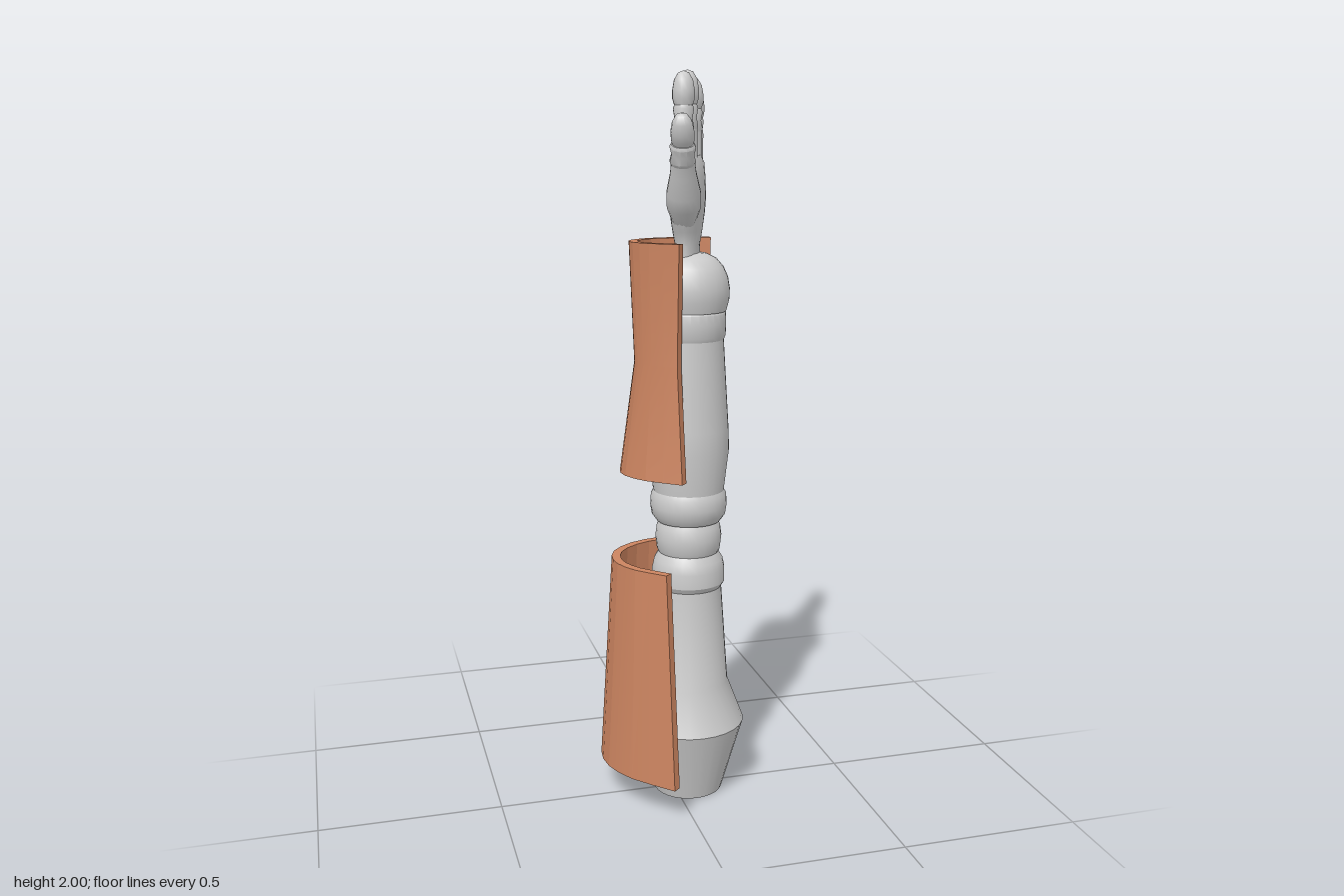
import * as THREE from 'three';
import { toCreasedNormals } from 'three/addons/utils/BufferGeometryUtils.js';

const grey = new THREE.MeshStandardMaterial({ color: 0xcccccc });
const copper = new THREE.MeshStandardMaterial({ color: 0xcb8460 });

function addMesh(parent, name, geometry, material = grey, crease = 0.5) {
  const mesh = new THREE.Mesh(toCreasedNormals(geometry, crease), material);
  mesh.name = name;
  parent.add(mesh);
  return mesh;
}

// Turned part from [radius, height] pairs, bottom to top
const lathe = (profile, sides = 28) =>
  new THREE.LatheGeometry(profile.map(([r, y]) => new THREE.Vector2(r, y)), sides);

// Skin over equal-length rings stacked bottom to top, closed at both ends
function loft(rings) {
  const n = rings[0].length, pos = [];
  const tri = (...corners) => corners.forEach((p) => pos.push(p.x, p.y, p.z));
  for (let k = 0; k < rings.length - 1; k++) {
    for (let i = 0; i < n; i++) {
      const a = rings[k][i], b = rings[k][(i + 1) % n];
      const c = rings[k + 1][i], d = rings[k + 1][(i + 1) % n];
      tri(a, c, b);
      tri(b, c, d);
    }
  }
  const top = rings[rings.length - 1], base = rings[0];
  for (let j = 0; j < n / 2 - 1; j++) {
    const q = n - 1 - j;
    tri(top[j], top[q], top[j + 1]);
    tri(top[j + 1], top[q], top[q - 1]);
    tri(base[j], base[j + 1], base[q]);
    tri(base[j + 1], base[q - 1], base[q]);
  }
  const g = new THREE.BufferGeometry();
  g.setAttribute('position', new THREE.Float32BufferAttribute(pos, 3));
  g.computeVertexNormals();
  return g;
}

// Horizontal section of a curved plate: outer arc, then inner arc back again
function plateRing(y, arc, thickness = 0.024, segments = 14) {
  const curve = new THREE.CatmullRomCurve3(arc.map(([x, z]) => new THREE.Vector3(x, y, z)).reverse());
  const outer = [], inner = [];
  for (let i = 0; i <= segments; i++) {
    const p = curve.getPoint(i / segments), t = curve.getTangent(i / segments);
    outer.push(p);
    inner.unshift(new THREE.Vector3(p.x - t.z * thickness, y, p.z + t.x * thickness));
  }
  return [...outer, ...inner];
}

// Turned part running between two points; profile heights go from 0 to 1
function limb(parent, name, from, to, profile, sides = 12) {
  const a = new THREE.Vector3(...from), dir = new THREE.Vector3(...to).sub(a);
  const mesh = addMesh(parent, name, lathe(profile.map(([r, t]) => [r, t * dir.length()]), sides), grey, 0.75);
  mesh.position.copy(a);
  mesh.quaternion.setFromUnitVectors(new THREE.Vector3(0, 1, 0), dir.normalize());
}

export function createModel() {
  const model = new THREE.Group();
  model.name = 'mechanicalArm';

  // Arm segments, all turned around one vertical axis
  const arm = new THREE.Group();
  arm.name = 'arm';
  arm.position.x = 0.043;
  model.add(arm);
  const segments = {
    upperArm: [[0, 0], [0.097, 0], [0.158, 0.21], [0.112, 0.33], [0.092, 0.615], [0, 0.615]],
    lowerElbowRing: [[0, 0.61], [0.092, 0.61], [0.101, 0.625], [0.101, 0.665], [0.095, 0.69], [0.083, 0.71], [0, 0.71]],
    elbowJoint: [[0, 0.69], [0.078, 0.70], [0.088, 0.72], [0.092, 0.755], [0.088, 0.785], [0.078, 0.805], [0, 0.81]],
    upperElbowRing: [[0, 0.80], [0.088, 0.80], [0.102, 0.82], [0.106, 0.845], [0.104, 0.875], [0.096, 0.89], [0, 0.89]],
    forearm: [[0, 0.88], [0.097, 0.88], [0.111, 1.0], [0.109, 1.06], [0.094, 1.305], [0, 1.305]],
    wristRing: [[0, 1.30], [0.092, 1.30], [0.099, 1.315], [0.1, 1.35], [0.099, 1.375], [0.093, 1.385], [0, 1.385]],
    wristBall: [[0, 1.38], [0.1, 1.38], [0.108, 1.41], [0.109, 1.44], [0.104, 1.47], [0.092, 1.497], [0.072, 1.52], [0.045, 1.533], [0, 1.537]],
  };
  for (const [name, profile] of Object.entries(segments)) addMesh(arm, name, lathe(profile));

  // Curved guard plates wrapping the outside of the arm
  addMesh(model, 'upperArmGuard', loft([
    plateRing(0.10, [[0.197, -0.2], [0.05, -0.228], [-0.088, -0.196], [-0.183, -0.107], [-0.203, 0], [-0.165, 0.107], [-0.058, 0.227]]),
    plateRing(0.695, [[0.137, -0.177], [0.05, -0.19], [-0.07, -0.163], [-0.15, -0.09], [-0.169, 0], [-0.141, 0.08], [-0.064, 0.163]]),
  ]), copper, 0.2);
  addMesh(model, 'forearmGuard', loft([
    plateRing(0.94, [[0.19, -0.143], [0.055, -0.163], [-0.05, -0.14], [-0.125, -0.08], [-0.145, -0.005], [-0.112, 0.075], [-0.02, 0.16]]),
    plateRing(1.245, [[0.13, -0.108], [0.05, -0.12], [-0.03, -0.105], [-0.088, -0.06], [-0.105, -0.003], [-0.083, 0.052], [-0.02, 0.11]]),
    plateRing(1.565, [[0.135, -0.118], [0.05, -0.131], [-0.04, -0.115], [-0.1, -0.065], [-0.118, -0.003], [-0.093, 0.06], [-0.02, 0.126]]),
  ]), copper, 0.2);

  // Hand: local z runs across the palm toward the thumb
  const hand = new THREE.Group();
  hand.name = 'hand';
  hand.position.x = 0.038;
  hand.rotation.y = -0.459;
  model.add(hand);

  // Palm sections: height, centre and half width across, half thickness
  const palm = [
    [1.50, 0, 0.058, 0.034], [1.555, 0, 0.057, 0.032], [1.59, 0, 0.07, 0.038], [1.635, 0, 0.098, 0.043],
    [1.68, -0.005, 0.116, 0.045], [1.73, -0.018, 0.117, 0.04], [1.765, -0.03, 0.112, 0.035], [1.785, -0.03, 0.104, 0.025],
  ];
  addMesh(hand, 'palm', loft(palm.map(([y, c, w, d]) => Array.from({ length: 24 }, (_, i) => {
    const a = ((i + 0.5) / 24) * Math.PI * 2;
    return new THREE.Vector3(Math.cos(a) * d, y, c + Math.sin(a) * w);
  }))), grey, 0.9);

  // Finger pieces, shared as [radius, fraction of length]
  const shaft = [[0, 0], [0.9, 0], [0.9, 1], [0, 1]];
  const knuckle = [[0, 0], [0.88, 0], [1, 0.15], [0.86, 0.5], [1, 0.85], [0.88, 1], [0, 1]];
  const tip = [[0, 0], [0.78, 0], [1, 0.22], [1.02, 0.45], [0.85, 0.75], [0.5, 0.94], [0, 1]];
  const sized = (profile, r) => profile.map(([w, t]) => [w * r, t]);

  // Four fingers: position across the palm, root height, tip height, radius
  const fingers = {
    index: [0.06, 1.76, 1.995, 0.029], middle: [0.004, 1.76, 2.0, 0.03],
    ring: [-0.064, 1.76, 1.985, 0.03], little: [-0.12, 1.745, 1.957, 0.023],
  };
  for (const [name, [z, root, end, r]] of Object.entries(fingers)) {
    const at = (t) => [0, root + (end - root) * t, z];
    limb(hand, name + 'FingerBase', at(0), at(0.38), sized(shaft, r));
    limb(hand, name + 'FingerKnuckle', at(0.37), at(0.64), sized(knuckle, r * 0.95));
    limb(hand, name + 'FingerTip', at(0.62), at(1), sized(tip, r));
  }

  // Thumb, leaning away from the palm
  limb(hand, 'thumbBase', [0, 1.61, 0.045], [0.013, 1.775, 0.135],
    [[0, 0], [0.03, 0.04], [0.045, 0.3], [0.045, 0.5], [0.034, 0.8], [0.03, 1], [0, 1]], 16);
  limb(hand, 'thumbKnuckle', [0.012, 1.765, 0.133], [0.016, 1.815, 0.154], sized(knuckle, 0.034));
  limb(hand, 'thumbTip', [0.016, 1.807, 0.15], [0.02, 1.888, 0.19], sized(tip, 0.03));

  return model;
}
